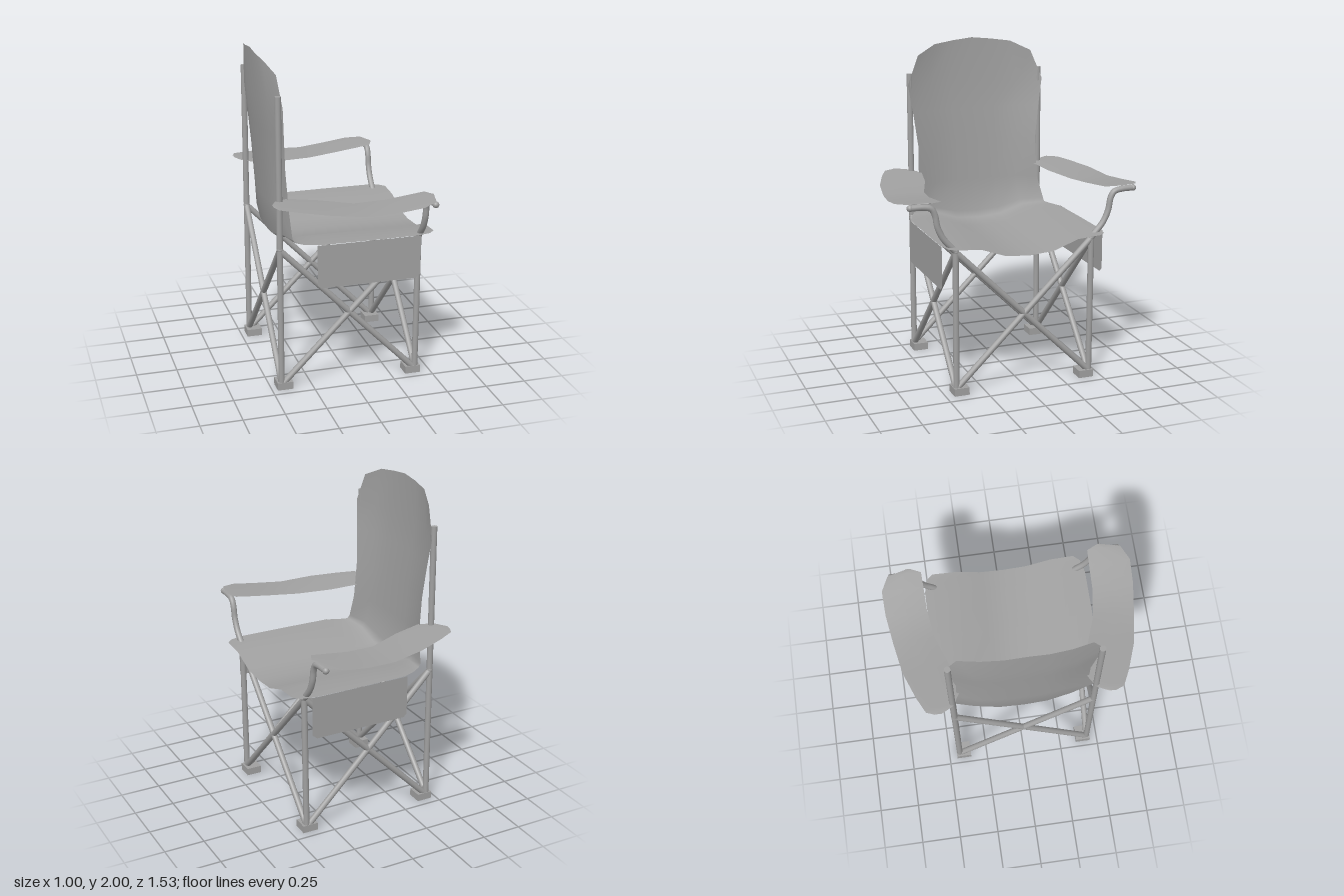
import * as THREE from 'three';

const grey = new THREE.MeshStandardMaterial({ color: 0xa0a0a0 });
const cloth = new THREE.MeshStandardMaterial({ color: 0xa0a0a0, side: THREE.DoubleSide });
const V = (x, y, z) => new THREE.Vector3(x, y, z);
const R = 0.0185; // tube radius

function add(group, name, geometry, material) {
  const mesh = new THREE.Mesh(geometry, material);
  mesh.name = name;
  group.add(mesh);
  return mesh;
}

// Straight round bar between two points
function bar(group, name, a, b) {
  const mesh = add(group, name, new THREE.CylinderGeometry(R, R, a.distanceTo(b), 12), grey);
  mesh.position.copy(a).lerp(b, 0.5);
  mesh.quaternion.setFromUnitVectors(V(0, 1, 0), b.clone().sub(a).normalize());
}

// Sheet of fabric from rows of points, all rows of the same length
function sheet(rows) {
  const n = rows[0].length;
  const index = [];
  for (let i = 0; i < rows.length - 1; i++) {
    for (let j = 0; j < n - 1; j++) {
      const a = i * n + j, b = a + n;
      index.push(a, a + 1, b, b, a + 1, b + 1);
    }
  }
  const geometry = new THREE.BufferGeometry().setFromPoints(rows.flat());
  geometry.setIndex(index);
  geometry.computeVertexNormals();
  return geometry;
}

// Sling: hanging seat running up into the curved backrest
function slingGeometry() {
  const columns = [-1, -0.67, -0.33, 0, 0.33, 0.67, 1];
  const sag = [0, 0.13, 0.85, 1, 0.85, 0.13, 0];
  const bowShape = t => 1 - Math.abs(t) ** 3;

  // seat: x and half width; only the outer columns follow the width
  const seat = [[0.5, 0.45], [0.465, 0.49], [0.38, 0.51], [0.1, 0.51], [-0.22, 0.505], [-0.31, 0.47]];
  const rows = seat.map(([x, w]) => columns.map((t, j) =>
    V(x, 0.922 - 0.077 * sag[j], Math.abs(t) === 1 ? t * w : t * 0.455)));

  // back: edge x, edge height, half width, sag in y and backward bow
  const back = [
    [-0.352, 0.928, 0.445, 0.072, 0.03],
    [-0.367, 0.95, 0.443, 0.06, 0.055],
    [-0.375, 1.1, 0.4, 0, 0.065],
    [-0.393, 1.35, 0.395, 0, 0.065],
    [-0.405, 1.55, 0.42, 0, 0.07],
    [-0.417, 1.73, 0.448, 0, 0.073],
  ];
  for (const [x, y, w, drop, bow] of back) {
    rows.push(columns.map((t, j) => V(x - bow * bowShape(t), y - drop * sag[j], t * w)));
  }
  const crown = [1.91, 1.97, 1.987, 2, 1.987, 1.97, 1.91];
  rows.push(columns.map((t, j) => V(-0.435 - 0.062 * bowShape(t), crown[j], t * 0.375)));
  return sheet(rows);
}

// Armrest: x, height, inner z and outer z of each station
function armrestGeometry(s) {
  const stations = [
    [-0.5, 1.19, 0.5, 0.54], [-0.48, 1.188, 0.46, 0.59], [-0.46, 1.187, 0.425, 0.6],
    [-0.38, 1.18, 0.38, 0.638], [-0.21, 1.166, 0.412, 0.7], [-0.01, 1.15, 0.483, 0.735],
    [0.17, 1.163, 0.508, 0.76], [0.32, 1.182, 0.511, 0.765], [0.41, 1.194, 0.514, 0.72],
    [0.44, 1.197, 0.58, 0.6],
  ];
  return sheet(stations.map(([x, y, zi, zo]) =>
    [0, 0.5, 1].map(t => V(x, y + (t === 0.5 ? 0.004 : 0), s * (zi + (zo - zi) * t)))));
}

// Side pocket with clipped lower corners, hanging from the seat edge
function pocketGeometry() {
  return new THREE.ShapeGeometry(new THREE.Shape([
    new THREE.Vector2(-0.235, 0.92), new THREE.Vector2(-0.235, 0.675), new THREE.Vector2(-0.215, 0.655),
    new THREE.Vector2(0.37, 0.655), new THREE.Vector2(0.4, 0.68), new THREE.Vector2(0.4, 0.92),
  ]));
}

export function createModel() {
  const model = new THREE.Group();
  model.name = 'foldingCampChair';
  const F = 0.413, B = -0.44, Z = 0.43, top = 0.885, low = 0.025;

  add(model, 'seatAndBackrest', slingGeometry(), cloth);

  for (const s of [1, -1]) {
    // Uprights
    bar(model, 'frontPost', V(F - 0.008, low, s * Z), V(F, 0.9, s * Z));
    bar(model, 'rearPost', V(B, low, s * Z), V(B, 1.8, s * Z));

    // Feet, reaching inward from the posts
    for (const x of [0.387, -0.42]) {
      add(model, 'foot', new THREE.BoxGeometry(0.096, 0.046, 0.094), grey).position.set(x, 0.023, s * 0.404);
    }

    // Crossed side bars
    bar(model, 'sideCrossBar', V(B, top, s * Z), V(F - 0.01, low, s * Z));
    bar(model, 'sideCrossBar', V(B, low, s * Z), V(F, top, s * Z));

    // Crossed front and rear bars, one for each direction
    for (const x of [F, B]) {
      bar(model, x > 0 ? 'frontCrossBar' : 'rearCrossBar',
        V(x > 0 ? x - 0.008 : x, low + 0.01, s * Z), V(x, top, -s * Z));
    }

    // Bent tube carrying the front of the armrest
    const path = new THREE.CatmullRomCurve3([
      [0.425, 0.885], [0.46, 0.922], [0.505, 0.975], [0.538, 1.045], [0.553, 1.12],
      [0.575, 1.158], [0.62, 1.17], [0.7, 1.172],
    ].map(([z, y]) => V(F, y, s * z)));
    add(model, 'armrestTube', new THREE.TubeGeometry(path, 28, R, 12), grey);

    // Rounded joints at the bar ends
    for (const p of [V(F, 0.888, s * Z), V(F, 1.172, s * 0.7), V(B, 0.89, s * Z)]) {
      add(model, 'tubeJoint', new THREE.SphereGeometry(0.02, 12, 8), grey).position.copy(p);
    }

    add(model, 'armrest', armrestGeometry(s), cloth);
    add(model, 'sidePocket', pocketGeometry(), cloth).position.z = s * 0.51;
  }
  return model;
}
